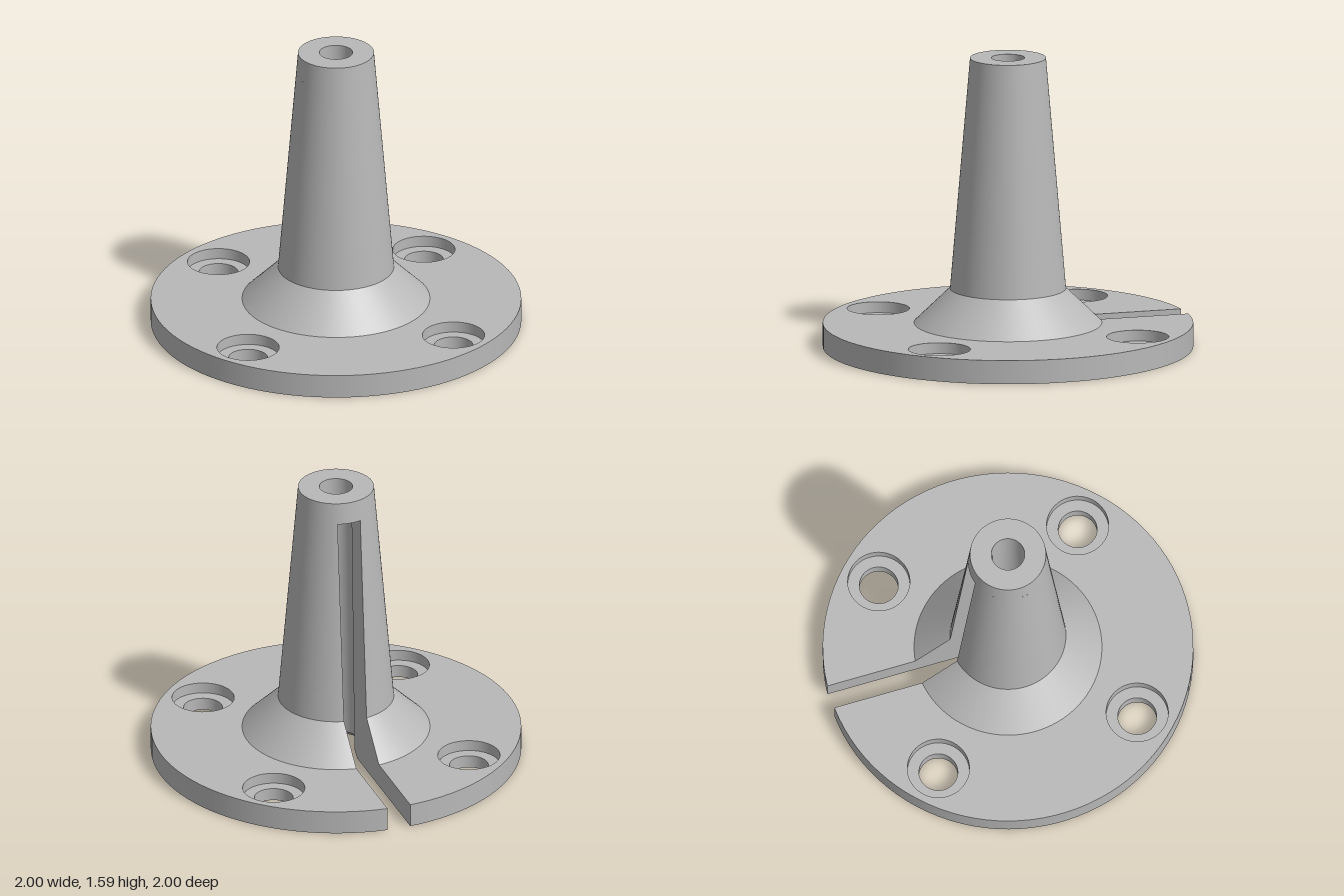
import * as THREE from 'three';

const W = 0.065;       // half width of the slot
const SLOT_TOP = 1.47; // height where the slot ends
const N = 96;          // steps around the axis

// Points round the axis, starting and ending at the slot walls (slot points to -z)
function arc(r, slotted = true) {
  const a = slotted ? Math.asin(W / r) : 0;
  return Array.from({ length: N + 1 }, (_, i) => {
    const t = a + (2 * Math.PI - 2 * a) * (i / N);
    return [Math.sin(t), Math.cos(t)];
  });
}

// Turned surface between two profile points; upward faces out, downward faces in
function turned([r0, y0], [r1, y1], slotted = true) {
  const pos = [], nor = [], idx = [];
  const len = Math.hypot(r1 - r0, y1 - y0);
  const nr = (y1 - y0) / len, ny = (r0 - r1) / len;
  for (const [r, y] of [[r0, y0], [r1, y1]]) {
    for (const [s, c] of arc(r, slotted)) {
      pos.push(r * s, y, -r * c);
      nor.push(nr * s, ny, -nr * c);
    }
  }
  for (let i = 0; i < N; i++) {
    const b = i + N + 1;
    idx.push(i, b, i + 1, i + 1, b, b + 1);
  }
  const g = new THREE.BufferGeometry();
  g.setAttribute('position', new THREE.Float32BufferAttribute(pos, 3));
  g.setAttribute('normal', new THREE.Float32BufferAttribute(nor, 3));
  g.setIndex(idx);
  return g;
}

// Flat slotted disc with four screw holes, facing up
function slottedDisc(outer, inner, holeR, holes) {
  const ring = (r) => arc(r).map(([s, c]) => new THREE.Vector2(r * s, r * c));
  const shape = new THREE.Shape([...ring(outer), ...ring(inner).reverse()]);
  for (const [x, z] of holes) {
    const h = new THREE.Path();
    h.absarc(x, -z, holeR, 0, Math.PI * 2);
    shape.holes.push(h);
  }
  return new THREE.ShapeGeometry(shape, 24).rotateX(-Math.PI / 2);
}

export function createModel() {
  const group = new THREE.Group();
  const metal = new THREE.MeshStandardMaterial({ color: 0xb8b8b8, side: THREE.DoubleSide });
  metal.name = 'grey metal';
  const add = (name, geo, x = 0, y = 0, z = 0) => {
    const m = new THREE.Mesh(geo, metal);
    m.name = name;
    m.position.set(x, y, z);
    group.add(m);
  };

  const baseH = 0.13, topH = 1.59, baseR = 1, flareR = 0.507;
  const stemLow = [0.313, 0.32], stemTop = [0.205, topH];
  const boreLow = [0.13, 0.035], boreTop = [0.09, topH];
  const at = ([r0, y0], [r1, y1], y) => [r0 + (r1 - r0) * (y - y0) / (y1 - y0), y];
  const stemMid = at(stemLow, stemTop, SLOT_TOP);
  const boreMid = at(boreLow, boreTop, SLOT_TOP);
  const holes = [[0.56, 0.56], [-0.56, 0.56], [0.56, -0.56], [-0.56, -0.56]];
  const holeR = 0.105, sinkR = 0.168, sinkY = 0.07;

  // Flange
  add('flangeRim', turned([baseR, 0], [baseR, baseH]));
  add('flangeTop', slottedDisc(baseR, flareR, sinkR, holes), 0, baseH);
  add('flangeBottom', slottedDisc(baseR, 0.17, holeR, holes).rotateZ(Math.PI));

  // Counterbored screw holes
  for (const [x, z] of holes) {
    const wall = (r, h) => new THREE.CylinderGeometry(r, r, h, 48, 1, true).scale(-1, 1, 1);
    const flip = (g) => {
      // restore the winding after mirroring so the wall faces the hole's axis
      const n = g.attributes.normal;
      for (let i = 0; i < n.count; i++) n.setXYZ(i, -n.getX(i), 0, -n.getZ(i));
      return g;
    };
    add('screwHoleWall', flip(wall(holeR, sinkY)), x, sinkY / 2, z);
    add('counterboreWall', flip(wall(sinkR, baseH - sinkY)), x, (baseH + sinkY) / 2, z);
    add('counterboreFloor', new THREE.RingGeometry(holeR, sinkR, 48).rotateX(-Math.PI / 2), x, sinkY, z);
  }

  // Flare and tapered stem
  add('flare', turned([flareR, baseH], stemLow));
  add('stem', turned(stemLow, stemMid));
  add('stemTip', turned(stemMid, stemTop, false));
  add('stemTopFace', new THREE.RingGeometry(boreTop[0], stemTop[0], N).rotateX(-Math.PI / 2), 0, topH);

  // Tapered bore with a chamfered mouth
  add('boreTip', turned(boreTop, boreMid, false));
  add('bore', turned(boreMid, boreLow));
  add('boreChamfer', turned(boreLow, [0.17, 0]));

  // Slot side walls, cut along the whole section
  const section = [[0.17, 0], [baseR, 0], [baseR, baseH], [flareR, baseH], stemLow, stemMid, boreMid, boreLow];
  const wallShape = new THREE.Shape(section.map(([r, y]) => new THREE.Vector2(Math.sqrt(r * r - W * W), y)));
  add('slotWallLeft', new THREE.ShapeGeometry(wallShape).rotateY(Math.PI / 2).rotateY(0), W);
  add('slotWallRight', new THREE.ShapeGeometry(wallShape).rotateY(Math.PI / 2), -W);

  // Slot ceiling between stem surface and bore
  const edge = (r) => Array.from({ length: 9 }, (_, i) => {
    const x = W * (i / 4 - 1);
    return new THREE.Vector2(x, -Math.sqrt(r * r - x * x));
  });
  const ceiling = new THREE.Shape([...edge(stemMid[0]), ...edge(boreMid[0]).reverse()]);
  add('slotCeiling', new THREE.ShapeGeometry(ceiling).rotateX(Math.PI / 2), 0, SLOT_TOP);

  return group;
}
